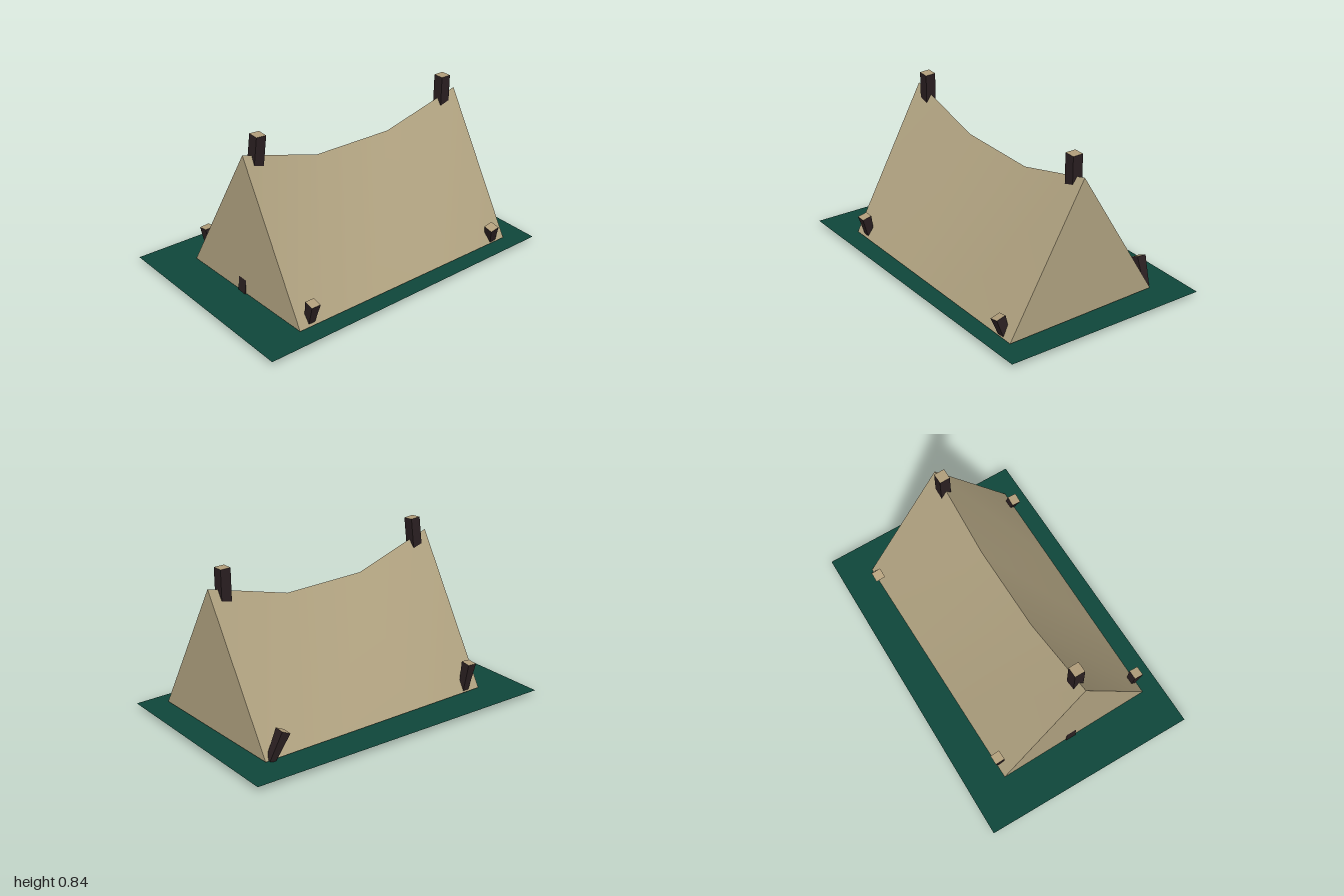
import * as THREE from 'three';

const canvas = new THREE.MeshStandardMaterial({ color: 0xb0a280, side: THREE.DoubleSide });
canvas.name = 'tan canvas';
const ground = new THREE.MeshStandardMaterial({ color: 0x0f463a, side: THREE.DoubleSide });
ground.name = 'dark green groundsheet';
const wood = new THREE.MeshStandardMaterial({ color: 0x2a1f21 });
wood.name = 'dark wood';
const cut = new THREE.MeshStandardMaterial({ color: 0xb09d7a });
cut.name = 'cut wood';

// Flat or bent sheet from two matching rows of points
function sheet(name, low, high) {
  const index = [];
  for (let i = 0; i < low.length - 1; i++) {
    const a = i, b = i + 1, c = low.length + i, d = c + 1;
    index.push(a, b, d, a, d, c);
  }
  const geo = new THREE.BufferGeometry();
  geo.setAttribute('position', new THREE.Float32BufferAttribute([...low, ...high].flat(), 3));
  geo.setIndex(index);
  geo.computeVertexNormals();
  const mesh = new THREE.Mesh(geo, canvas);
  mesh.name = name;
  return mesh;
}

// Square post with a pale cut top, running from foot to head
function post(name, foot, head, width, taper) {
  const a = new THREE.Vector3(...foot), b = new THREE.Vector3(...head);
  const geo = new THREE.BoxGeometry(width, a.distanceTo(b), width);
  const pos = geo.attributes.position;
  for (let i = 0; i < pos.count; i++) {
    if (pos.getY(i) < 0) {
      pos.setX(i, pos.getX(i) * taper);
      pos.setZ(i, pos.getZ(i) * taper);
    }
  }
  geo.computeVertexNormals();
  const mesh = new THREE.Mesh(geo, [wood, wood, cut, wood, wood, wood]);
  mesh.position.copy(a).add(b).multiplyScalar(0.5);
  mesh.quaternion.setFromUnitVectors(new THREE.Vector3(0, 1, 0), b.sub(a).normalize());
  mesh.name = name;
  return mesh;
}

export function createModel() {
  const model = new THREE.Group();
  model.name = 'tent';

  // Groundsheet
  const outline = [[0.14, -1], [0.95, -0.3], [-0.1, 1], [-0.95, 0.27]];
  const shape = new THREE.Shape(outline.map(([x, z]) => new THREE.Vector2(x, -z)));
  const floor = new THREE.Mesh(new THREE.ShapeGeometry(shape), ground);
  floor.rotation.x = -Math.PI / 2;
  floor.position.y = 0.021;
  floor.name = 'groundsheet';
  model.add(floor);

  // The tent's ridge runs along local x, turned diagonally
  const tent = new THREE.Group();
  tent.name = 'tentBody';
  tent.rotation.y = 0.883;
  model.add(tent);

  // Canvas: sagging ridge, straight hems, upright triangular ends
  const base = 0.026, nearZ = 0.459, farZ = -0.368;
  const ridge = [[-0.604, 0.757, 0.06], [-0.17, 0.62, 0.05], [0.27, 0.61, 0.05], [0.707, 0.722, 0.058]];
  const hem = (z) => ridge.map(([x]) => [x, base, z]);
  tent.add(sheet('leftRoof', hem(nearZ), ridge));
  tent.add(sheet('rightRoof', hem(farZ).reverse(), [...ridge].reverse()));
  for (const [name, top, s] of [['frontWall', ridge[0], 1], ['backWall', ridge[3], -1]]) {
    const corners = [[top[0], base, farZ], [top[0], base, nearZ]];
    if (s < 0) corners.reverse();
    tent.add(sheet(name, corners, [top, top]));
  }

  // Poles leaning slightly, standing out of the ridge
  tent.add(post('frontPole', [-0.583, 0.022, 0.02], [-0.518, 0.835, 0.063], 0.054, 1));
  tent.add(post('backPole', [0.62, 0.022, 0.05], [0.627, 0.81, 0.055], 0.054, 1));

  // Pegs at the four corners
  const pegs = [
    ['frontLeftPeg', [-0.53, 0.022, 0.43], [-0.528, 0.145, 0.458]],
    ['backLeftPeg', [0.64, 0.004, 0.43], [0.616, 0.12, 0.458]],
    ['backRightPeg', [0.676, 0.022, -0.362], [0.612, 0.155, -0.372]],
    ['frontRightPeg', [-0.52, 0.022, -0.345], [-0.533, 0.18, -0.366]],
  ];
  for (const [name, foot, head] of pegs) tent.add(post(name, foot, head, 0.05, 0.65));

  return model;
}
